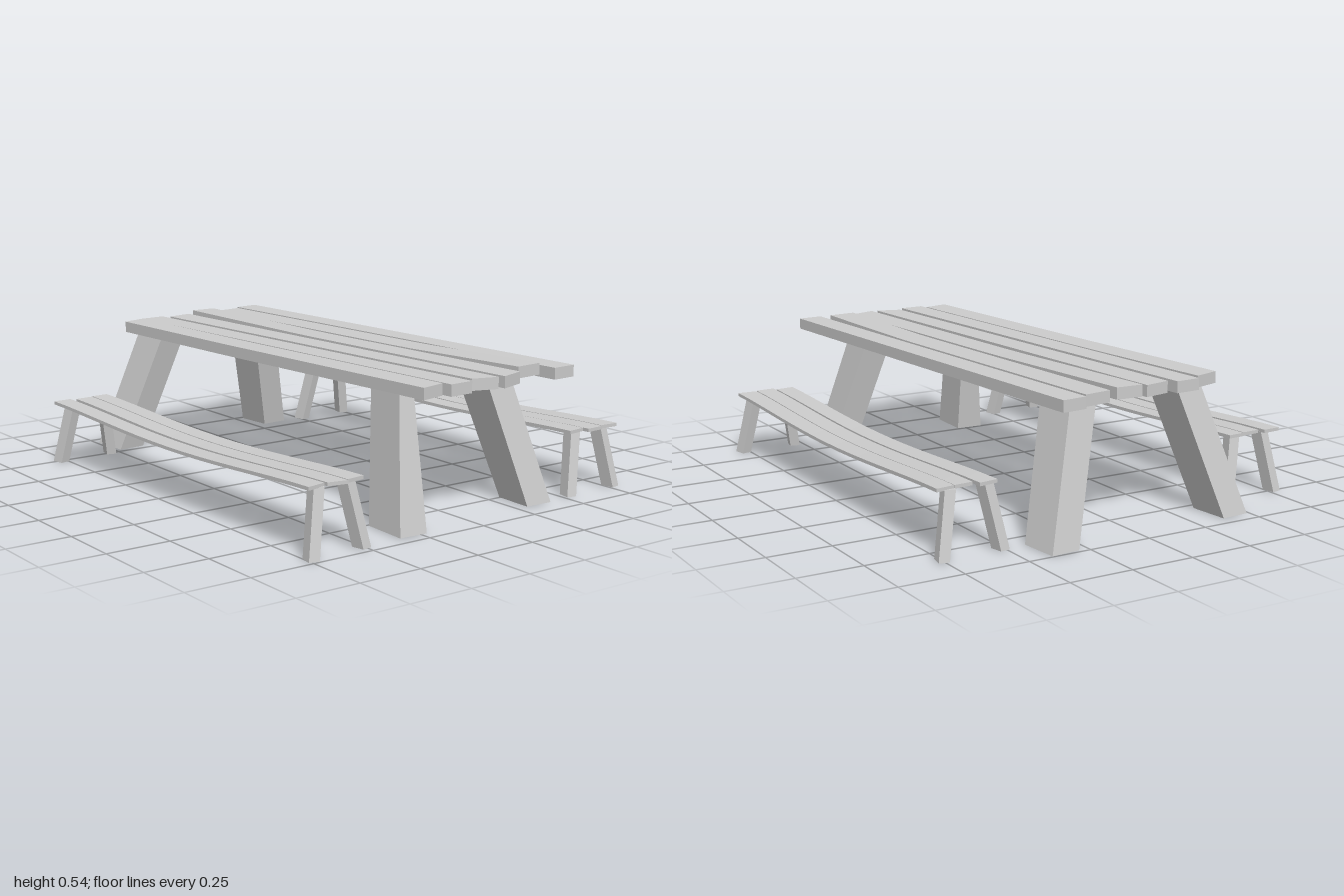
import * as THREE from 'three';

const material = new THREE.MeshStandardMaterial({ color: 0xcccccc });
const mix = THREE.MathUtils.lerp;

// Box whose vertices are moved by rule(u, v, w, target), with u, v, w running 0..1
function shapedBox(name, segments, rule) {
  const geometry = new THREE.BoxGeometry(1, 1, 1, 1, 1, segments);
  const pos = geometry.attributes.position;
  const p = new THREE.Vector3();
  for (let i = 0; i < pos.count; i++) {
    rule(pos.getX(i) + 0.5, pos.getY(i) + 0.5, pos.getZ(i) + 0.5, p);
    pos.setXYZ(i, p.x, p.y, p.z);
  }
  geometry.computeVertexNormals();
  const mesh = new THREE.Mesh(geometry, material);
  mesh.name = name;
  return mesh;
}

// Plank between two ends, each [x0, x1, z at x0, z at x1]; height(w, z) gives its underside
function plank(name, back, front, thickness, height) {
  return shapedBox(name, 16, (u, v, w, p) => {
    const x = mix(mix(back[0], back[1], u), mix(front[0], front[1], u), w);
    const z = mix(mix(back[2], back[3], u), mix(front[2], front[3], u), w);
    p.set(x, height(w, z) + v * thickness, z);
  });
}

// Splayed leg between two rectangles [x0, x1, z0, z1], turned slightly by yaw
function leg(name, foot, top, height, yaw = 0) {
  return shapedBox(name, 1, (u, v, w, p) => {
    const [x0, x1, z0, z1] = foot.map((f, i) => mix(f, top[i], v));
    const dx = (u - 0.5) * (x1 - x0), dz = (w - 0.5) * (z1 - z0);
    const c = Math.cos(yaw), s = Math.sin(yaw);
    p.set((x0 + x1) / 2 + dx * c + dz * s, v * height, (z0 + z1) / 2 - dx * s + dz * c);
  });
}

function createTable() {
  const table = new THREE.Group();
  table.name = 'table';
  // Back end, front end, lift at back, lift at front
  const planks = [
    [[-0.395, -0.29, -0.85, -0.88], [-0.27, -0.165, 0.98, 0.955], 0.004, 0],
    [[-0.28, -0.18, -0.90, -0.905], [-0.155, -0.055, 0.99, 0.985], 0, 0],
    [[-0.155, -0.05, -0.88, -0.90], [-0.03, 0.07, 0.955, 0.985], 0, 0],
    [[-0.015, 0.09, -0.92, -0.915], [0.095, 0.20, 0.99, 0.955], 0.01, 0],
    [[0.11, 0.22, -0.90, -0.915], [0.215, 0.33, 0.93, 0.92], 0, 0.012],
    [[0.235, 0.335, -0.94, -0.95], [0.35, 0.45, 0.98, 0.975], 0, 0],
  ];
  for (const [back, front, liftBack, liftFront] of planks) {
    table.add(plank('tablePlank', back, front, 0.044, (w) =>
      0.487 + liftBack * Math.max(0, 1 - w * 2.5) + liftFront * Math.max(0, w * 3 - 2)));
  }
  table.add(
    leg('tableLegBackRight', [-0.483, -0.368, -0.945, -0.78], [-0.325, -0.21, -0.85, -0.68], 0.49, 0.08),
    leg('tableLegBackLeft', [0.295, 0.41, -0.99, -0.83], [0.165, 0.28, -0.89, -0.72], 0.49, 0.08),
    leg('tableLegFrontRight', [-0.335, -0.22, 0.76, 0.95], [-0.275, -0.212, 0.69, 0.86], 0.49, -0.05),
    leg('tableLegFrontLeft', [0.303, 0.418, 0.75, 0.91], [0.172, 0.287, 0.63, 0.81], 0.49, -0.04),
  );
  return table;
}

function createBench(name, planks, feet) {
  const bench = new THREE.Group();
  bench.name = name;
  // Thin planks sagging in the middle
  for (const [back, front] of planks) {
    bench.add(plank('benchPlank', back, front, 0.013, (w) =>
      0.24 - 0.028 * Math.sin(Math.PI * w) ** 1.5));
  }
  // Legs lean inwards along x and z
  for (const [x, z, sx, sz] of feet) {
    const tx = x - sx * 0.045, tz = z - sz * 0.035;
    const rect = (a, b) => [a - 0.02, a + 0.02, b - 0.026, b + 0.026];
    bench.add(leg('benchLeg', rect(x, z), rect(tx, tz), 0.242, sx * sz * 0.2));
  }
  return bench;
}

export function createModel() {
  const model = new THREE.Group();
  model.name = 'picnicTable';
  model.add(createTable());
  model.add(createBench('benchRight', [
    [[-0.79, -0.715, -0.755, -0.76], [-0.745, -0.67, 0.965, 0.95]],
    [[-0.695, -0.62, -0.745, -0.75], [-0.66, -0.585, 0.955, 0.97]],
    [[-0.615, -0.545, -0.755, -0.76], [-0.58, -0.505, 0.96, 0.95]],
  ], [[-0.773, -0.745, -1, -1], [-0.54, -0.755, 1, -1], [-0.735, 0.965, -1, 1], [-0.508, 0.945, 1, 1]]));
  model.add(createBench('benchLeft', [
    [[0.525, 0.60, -0.83, -0.84], [0.535, 0.612, 0.885, 0.875]],
    [[0.615, 0.688, -0.815, -0.82], [0.617, 0.695, 0.90, 0.895]],
    [[0.69, 0.763, -0.82, -0.83], [0.70, 0.78, 0.885, 0.89]],
  ], [[0.513, -0.83, -1, -1], [0.75, -0.84, 1, -1], [0.538, 0.88, -1, 1], [0.774, 0.872, 1, 1]]));
  return model;
}
